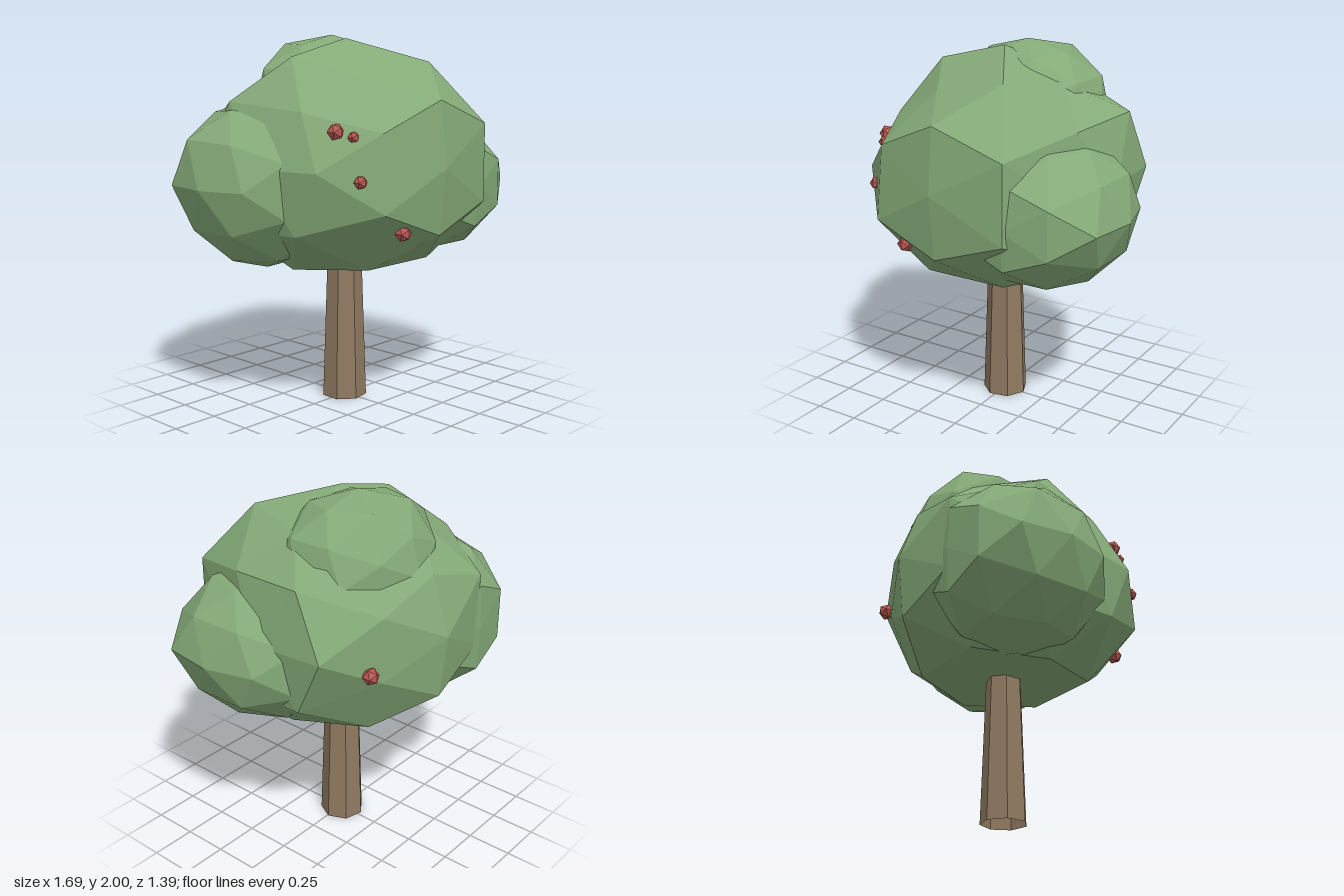
import * as THREE from 'three';

export function createModel() {
  const tree = new THREE.Group();
  tree.name = 'tree';

  const material = (name, color) => {
    const m = new THREE.MeshStandardMaterial({ color });
    m.name = name;
    return m;
  };
  const leafGreen = material('leaf green', 0x85aa78);
  const barkBrown = material('bark brown', 0x907a61);
  const berryRed = material('berry red', 0xbc5751);
  barkBrown.side = THREE.DoubleSide;

  // Adds a faceted part: unshared corners give flat normals
  function add(name, geometry, mat) {
    const g = geometry.index ? geometry.toNonIndexed() : geometry;
    g.computeVertexNormals();
    const mesh = new THREE.Mesh(g, mat);
    mesh.name = name;
    tree.add(mesh);
    return mesh;
  }

  // Seven-sided tapered trunk, open at the foot, its top hidden inside the crown
  const trunk = add('trunk', new THREE.CylinderGeometry(0.09, 0.124, 1, 7, 1, true), barkBrown);
  trunk.position.set(0, 0.5, -0.01);
  trunk.rotation.y = -0.253;

  // Overlapping leaf clumps: name, centre, radii, and dents or bumps as
  // [direction x, y, z, scale of the corner there]
  const clumps = [
    ['mainCrown', [0, 1.33, 0], [0.76, 0.65, 0.77], [
      [1, 0, 0, 0.89], [-1, 0, 0, 0.89], [0, 0, 1, 0.9], [0, 0, -1, 0.9], [0, -1, 0, 0.84],
      // front right
      [-0.5, 0.31, 0.81, 0.95], [-0.81, 0.5, 0.31, 0.87], [-0.31, 0.81, 0.5, 0.85], [-0.85, 0, 0.53, 0.94],
      // front left
      [0.5, 0.31, 0.81, 1.03], [0.5, -0.31, 0.81, 1.03], [0.81, 0.5, 0.31, 0.9], [0.85, 0, 0.53, 0.83],
      // back and top
      [0.5, 0.31, -0.81, 0.87], [0.5, -0.31, -0.81, 0.87], [0, 0.53, -0.85, 0.9],
      [0.53, 0.85, 0, 0.88], [0.31, 0.81, -0.5, 0.9], [-0.31, 0.81, -0.5, 0.9],
    ]],
    ['rightCrown', [-0.39, 1.22, -0.21], [0.465, 0.46, 0.49], [
      [0, 0, -1, 0.87], [-0.85, 0, -0.53, 1.06], [-0.81, 0.5, -0.31, 1.06],
    ]],
    ['leftCrown', [0.37, 1.2, 0.18], [0.47, 0.41, 0.5], [
      [0, 0, 1, 0.9], [0.85, 0, 0.53, 1.08], [0.53, 0.85, 0, 0.95],
    ]],
    ['topCrown', [0.05, 1.62, -0.15], [0.45, 0.38, 0.4], [
      [0.31, 0.81, -0.5, 1.08], [-0.31, 0.81, -0.5, 1.08],
      [0.81, 0.5, -0.31, 1.04], [-0.81, 0.5, -0.31, 1.06],
    ]],
  ];
  const corner = new THREE.Vector3();
  const direction = new THREE.Vector3();
  for (const [name, center, radii, dents] of clumps) {
    const g = new THREE.IcosahedronGeometry(1, 1);
    const p = g.attributes.position;
    for (let i = 0; i < p.count; i++) {
      corner.fromBufferAttribute(p, i);
      const dent = dents.find(([x, y, z]) => direction.set(x, y, z).normalize().dot(corner) > 0.98);
      if (dent) corner.multiplyScalar(dent[3]);
      p.setXYZ(i, ...corner);
    }
    g.scale(...radii);
    add(name, g, leafGreen).position.set(...center);
  }

  // Berries set into the leaves
  const berries = [
    [-0.48, 1.525, 0.39, 0.045],
    [-0.44, 1.5, 0.47, 0.032],
    [-0.455, 1.29, 0.53, 0.036],
    [-0.22, 1.02, 0.6, 0.044],
    [0.41, 1.225, -0.53, 0.045],
  ];
  berries.forEach(([x, y, z, r], i) => {
    add('berry' + (i + 1), new THREE.IcosahedronGeometry(r, 0), berryRed).position.set(x, y, z);
  });

  return tree;
}
